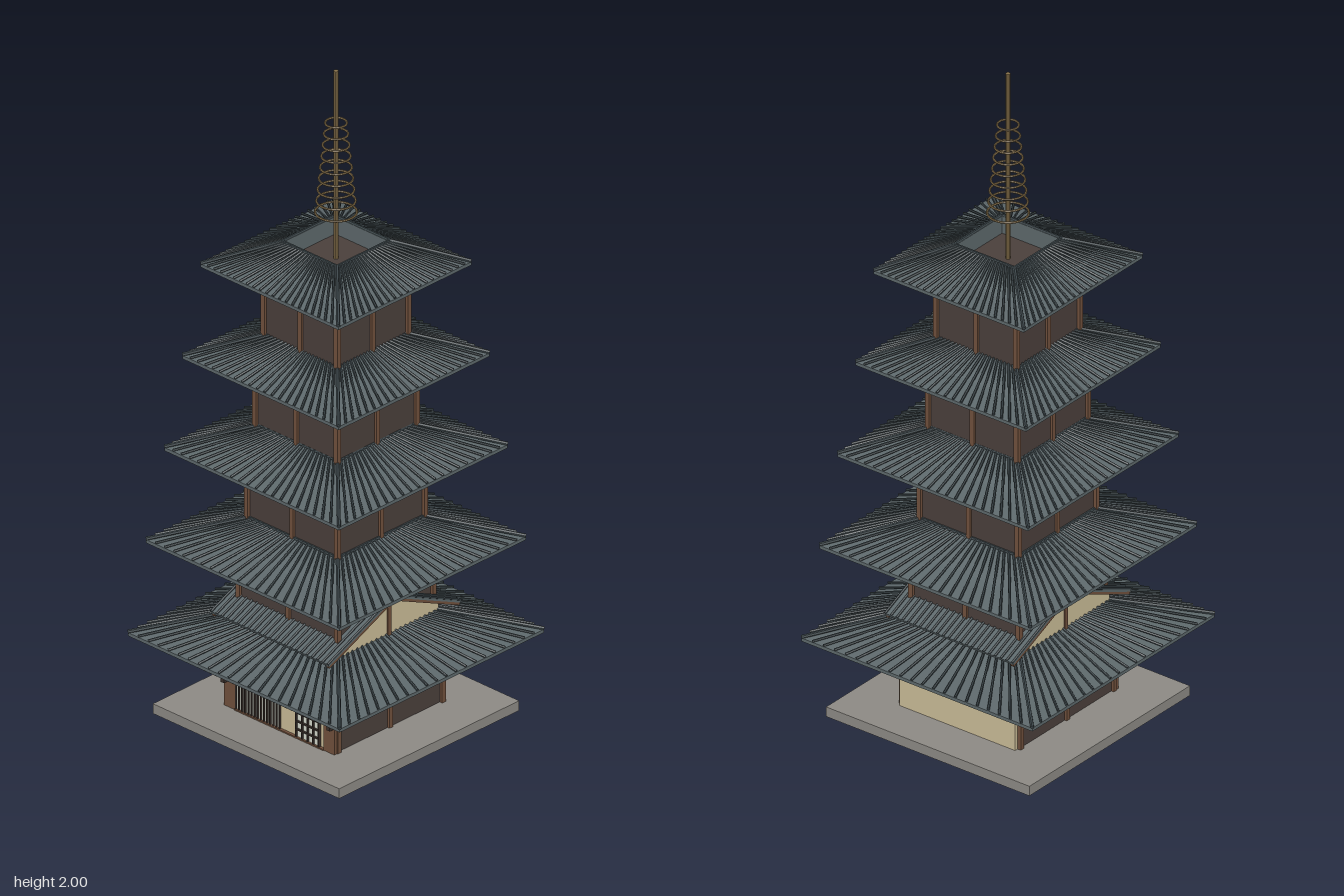
import * as THREE from 'three';
import { mergeGeometries } from 'three/addons/utils/BufferGeometryUtils.js';

const mat = (color, extra = {}) => new THREE.MeshStandardMaterial({ color, flatShading: true, ...extra });
const M = {
  stone: mat(0x8c8984), footing: mat(0x77736e), wall: mat(0x4a3f3b), post: mat(0x70503c),
  plaster: mat(0xc9bb96), tile: mat(0x5d686b, { side: THREE.DoubleSide }), rib: mat(0x3c464a),
  brass: mat(0x86704a), paper: mat(0xd5d8cc), glass: mat(0x5d7c8a), dark: mat(0x3a302b),
};
const V = (x, y, z) => new THREE.Vector3(x, y, z);

function add(parent, name, geometry, material) {
  const mesh = new THREE.Mesh(geometry, material);
  mesh.name = name;
  parent.add(mesh);
  return mesh;
}

// Box given by its low and high limits on each axis
function boxGeo(x0, x1, y0, y1, z0, z1) {
  return new THREE.BoxGeometry(x1 - x0, y1 - y0, z1 - z0)
    .translate((x0 + x1) / 2, (y0 + y1) / 2, (z0 + z1) / 2);
}
const box = (parent, name, material, ...limits) => add(parent, name, boxGeo(...limits), material);

// Round bar between two points
function bar(a, b, r, sides = 6) {
  const d = b.clone().sub(a);
  const q = new THREE.Quaternion().setFromUnitVectors(V(0, 1, 0), d.clone().normalize());
  return new THREE.CylinderGeometry(r, r, d.length(), sides)
    .applyQuaternion(q).translate((a.x + b.x) / 2, (a.y + b.y) / 2, (a.z + b.z) / 2);
}

// Repeat a set of geometries on all four sides
function fourSides(list) {
  const all = [];
  for (let s = 0; s < 4; s++) for (const g of list) all.push(g.clone().rotateY(s * Math.PI / 2));
  return mergeGeometries(all);
}

// Square hipped roof: sagging tile surface with straight ribs over it
function hippedRoof(parent, n, eave, top, y, body) {
  const roof = new THREE.Group();
  roof.name = 'roof' + n;
  parent.add(roof);
  const yTop = y + 0.078, mid = (eave + top) / 2, yMid = (y + 0.01 + yTop) / 2 - 0.014;
  const profile = [[body - 0.01, y], [eave, y], [eave, y + 0.01], [mid, yMid], [top, yTop], [top - 0.006, yTop], [top - 0.006, y + 0.02]]
    .map(([r, h]) => new THREE.Vector2(r * Math.SQRT2, h));
  add(roof, 'tileSurface', new THREE.LatheGeometry(profile, 4, Math.PI / 4), M.tile);
  const ribs = [], count = 21;
  for (let i = 0; i < count; i++) {
    const t = (i / count) * 2 - 1;
    ribs.push(bar(V(t * eave, y + 0.013, eave), V(t * top, yTop, top), i ? 0.0038 : 0.0055));
  }
  ribs.push(bar(V(-top, yTop, top), V(top, yTop, top), 0.005));
  add(roof, 'tileRibs', fourSides(ribs), M.rib);
}

// Storey: walls, corner and middle posts, brackets under the eave
function storey(parent, n, half, y0, y1, eaveY) {
  const g = new THREE.Group();
  g.name = 'storey' + n;
  parent.add(g);
  const w = half - 0.004;
  box(g, 'walls', M.wall, -w, w, y0, y1, -w, w);
  const r = 0.007, h = half - 0.002;
  add(g, 'posts', fourSides([
    boxGeo(h - r, h + r, y0, eaveY, h - r, h + r),
    boxGeo(-r, r, y0, eaveY, h - r, h + r - 0.002),
  ]), M.post);
  const brackets = [];
  for (let i = 0; i < 7; i++) {
    const x = (i / 6 * 2 - 1) * half * 0.9;
    brackets.push(boxGeo(x - 0.008, x + 0.008, eaveY - 0.016, eaveY + 0.002, half - 0.01, half + 0.024));
  }
  add(g, 'brackets', fourSides(brackets), M.post);
}

// Plaster house inside the two lowest storeys, with its own gabled roof
function house(parent) {
  const g = new THREE.Group();
  g.name = 'house';
  parent.add(g);
  box(g, 'backWall', M.plaster, -0.2, 0.2, 0.05, 0.265, -0.222, -0.2);
  const shape = new THREE.Shape([[-0.195, 0.26], [0.195, 0.26], [0.195, 0.373], [0, 0.457], [-0.195, 0.373]]
    .map(p => new THREE.Vector2(...p)));
  const gable = new THREE.ExtrudeGeometry(shape, { depth: 0.396, bevelEnabled: false });
  add(g, 'gableWalls', gable.translate(0, 0, -0.198).rotateY(Math.PI / 2), M.plaster);
  for (const s of [-1, 1]) {
    box(g, 'gablePost', M.post, s * 0.199 - 0.004, s * 0.199 + 0.004, 0.33, 0.455, -0.006, 0.006);
    // Roof slope, ribs and barge boards
    const L = Math.hypot(0.26, 0.115), slope = new THREE.Group();
    slope.name = 'gableSlope';
    slope.position.set(0, 0.465, 0);
    slope.rotation.set(Math.atan2(0.115, 0.26), s < 0 ? Math.PI : 0, 0, 'YXZ');
    g.add(slope);
    box(slope, 'slab', M.tile, -0.222, 0.222, -0.008, 0, 0, L);
    const ribs = [];
    for (let i = 0; i <= 22; i++) {
      const x = -0.22 + i * 0.02;
      ribs.push(bar(V(x, 0.001, 0), V(x, 0.001, L), 0.004));
    }
    add(slope, 'ribs', mergeGeometries(ribs), M.rib);
    for (const e of [-1, 1]) box(slope, 'bargeBoard', M.post, e * 0.216 - 0.005, e * 0.216 + 0.005, -0.016, -0.008, 0, L);
  }
  add(g, 'ridge', bar(V(-0.226, 0.47, 0), V(0.226, 0.47, 0), 0.008, 8), M.rib);
}

// Street front: lattice, door, awning and upper window
function facade(parent) {
  const g = new THREE.Group();
  g.name = 'facade';
  parent.add(g);
  box(g, 'frontWall', M.plaster, -0.2, 0.2, 0.05, 0.265, 0.2, 0.216);
  for (const s of [-1, 1]) {
    box(g, 'frontPost', M.post, s * 0.188 - 0.02, s * 0.188 + 0.02, 0.05, 0.265, 0.2, 0.222);
    box(g, 'sideBoard', M.dark, s * 0.2 - 0.006, s * 0.2 + 0.006, 0.13, 0.25, 0.216, 0.238);
  }
  box(g, 'latticeBacking', M.paper, -0.165, 0, 0.055, 0.175, 0.214, 0.218);
  const slats = [], upper = [];
  for (let i = 0; i <= 14; i++) {
    const x = -0.165 + i * 0.165 / 14;
    slats.push(boxGeo(x - 0.0018, x + 0.0018, 0.055, 0.175, 0.217, 0.223));
  }
  for (let i = 0; i <= 20; i++) {
    const x = -0.16 + i * 0.016;
    upper.push(boxGeo(x - 0.002, x + 0.002, 0.228, 0.254, 0.216, 0.221));
  }
  for (const y of [0.226, 0.256]) upper.push(boxGeo(-0.165, 0.165, y - 0.002, y + 0.002, 0.216, 0.223));
  add(g, 'latticeSlats', mergeGeometries(slats), M.dark);
  add(g, 'upperWindowSlats', mergeGeometries(upper), M.dark);
  box(g, 'sill', M.post, -0.168, 0.168, 0.05, 0.056, 0.21, 0.225);
  box(g, 'doorPanel', M.paper, 0.065, 0.15, 0.055, 0.13, 0.214, 0.219);
  box(g, 'doorCurtain', M.glass, 0.065, 0.15, 0.132, 0.175, 0.214, 0.224);
  const frame = [];
  for (let i = 0; i <= 4; i++) {
    const x = 0.065 + i * 0.02125;
    frame.push(boxGeo(x - 0.002, x + 0.002, 0.055, 0.177, 0.216, 0.225));
  }
  for (const y of [0.08, 0.105, 0.131, 0.176]) frame.push(boxGeo(0.063, 0.152, y - 0.002, y + 0.002, 0.216, 0.225));
  add(g, 'doorFrame', mergeGeometries(frame), M.dark);
  // Awning sloping down to the street
  const awning = new THREE.Group();
  awning.name = 'awning';
  awning.position.set(0, 0.214, 0.214);
  awning.rotation.x = Math.atan2(0.022, 0.085);
  g.add(awning);
  box(awning, 'slab', M.tile, -0.212, 0.212, -0.007, 0, 0, 0.088);
  const ribs = [];
  for (let i = 0; i <= 21; i++) {
    const x = -0.21 + i * 0.02;
    ribs.push(bar(V(x, 0.001, 0), V(x, 0.001, 0.088), 0.0035));
  }
  add(awning, 'ribs', mergeGeometries(ribs), M.rib);
}

export function createModel() {
  const model = new THREE.Group();
  model.name = 'pagoda';
  box(model, 'footing', M.footing, -0.195, 0.195, 0, 0.022, -0.222, 0.23);
  box(model, 'basePlate', M.stone, -0.352, 0.352, 0.022, 0.052, -0.352, 0.352);

  // Five tiers: eave half-width, top half-width, eave height, body half-width
  const tiers = [
    [0.4, 0.19, 0.262, 0.206], [0.365, 0.17, 0.548, 0.188], [0.33, 0.15, 0.832, 0.172],
    [0.295, 0.128, 1.115, 0.156], [0.26, 0.104, 1.397, 0.14],
  ];
  tiers.forEach(([eave, top, y, half], i) => {
    const floor = i ? tiers[i - 1][2] + 0.04 : 0.05;
    storey(model, i + 1, half, floor, y + 0.025, y);
    hippedRoof(model, i + 1, eave, top, y, half);
  });
  house(model);
  facade(model);

  // Spire with nine rings
  const spire = new THREE.Group();
  spire.name = 'spire';
  model.add(spire);
  add(spire, 'rod', bar(V(0, 1.42, 0), V(0, 2, 0), 0.007, 10), M.brass);
  for (let i = 0; i < 9; i++) {
    const ring = add(spire, 'ring', new THREE.TorusGeometry(0.057 - i * 0.0034, 0.0032, 6, 32), M.brass);
    ring.rotation.x = Math.PI / 2;
    ring.position.y = 1.565 + i * 0.0343;
  }
  return model;
}
